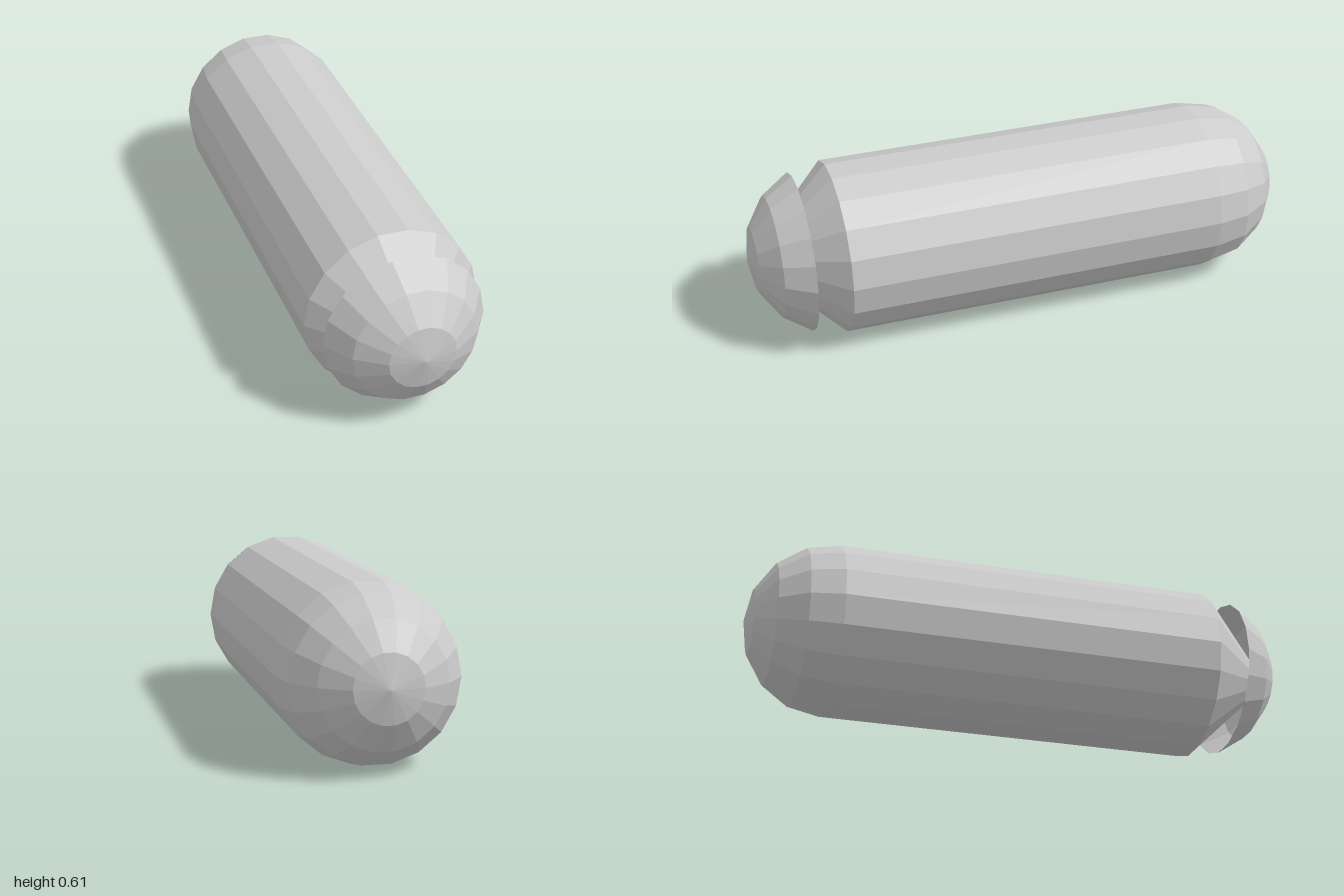
import * as THREE from 'three';

const R = 0.31;            // body radius
const SIDES = 18;
const RINGS = 4;           // steps from equator to pole of each dome
const END = 1 - R;         // where the straight body stops

export function createModel() {
  const group = new THREE.Group();
  const material = new THREE.MeshStandardMaterial({
    color: 0xcccccc, flatShading: true, side: THREE.DoubleSide,
  });

  // Faceted solid of revolution along z, lifted to rest on a flat facet
  const turned = (name, profile) => {
    const points = profile.map(([r, z]) => new THREE.Vector2(r, z));
    const geometry = new THREE.LatheGeometry(points, SIDES, Math.PI / 2);
    geometry.rotateX(Math.PI / 2);
    const mesh = new THREE.Mesh(geometry, material);
    mesh.name = name;
    mesh.position.y = R * Math.cos(Math.PI / SIDES);
    group.add(mesh);
  };

  // Point on a dome profile: step 0 is the equator, RINGS is the pole
  const domePoint = (step, sign) => {
    if (step === RINGS) return [0, sign];
    const a = (step / RINGS) * Math.PI / 2;
    return [R * Math.cos(a), sign * (END + R * Math.sin(a))];
  };

  // Rounded back end and straight barrel
  const back = [];
  for (let i = RINGS; i >= 0; i--) back.push(domePoint(i, -1));
  turned('body', [...back, [R, END]]);

  // Tapered neck running inside the front cap to its tip
  turned('neckCone', [[R, END], [0, 1]]);

  // Hollow front cap, separated from the barrel by an open gap
  const front = [];
  for (let i = 1; i <= RINGS; i++) front.push(domePoint(i, 1));
  turned('frontCap', front);

  return group;
}
